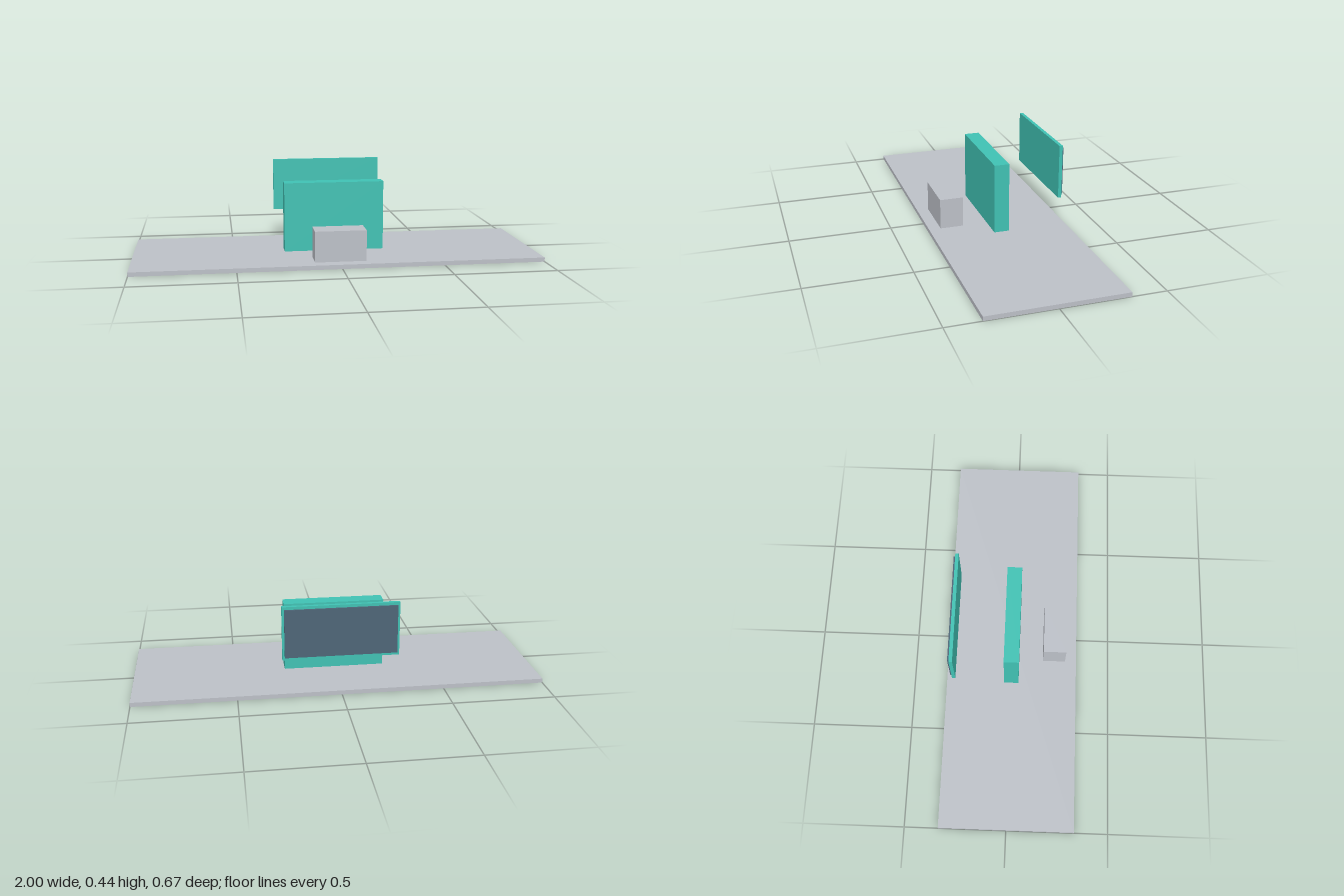
import * as THREE from 'three';

const material = (name, color) => {
  const m = new THREE.MeshStandardMaterial({ color });
  m.name = name;
  return m;
};

export function createModel() {
  const grey = material('light grey', 0xbcc0c7);
  const teal = material('teal', 0x40c1b3);
  const slate = material('dark slate', 0x4d6577);

  const model = new THREE.Group();
  model.name = 'displayStand';

  // Box centred on x, spanning the given y and z ranges
  const addBox = (name, width, [y0, y1], [z0, z1], mat) => {
    const mesh = new THREE.Mesh(new THREE.BoxGeometry(width, y1 - y0, z1 - z0), mat);
    mesh.name = name;
    mesh.position.set(0, (y0 + y1) / 2, (z0 + z1) / 2);
    model.add(mesh);
  };

  // Floor slab
  addBox('basePlate', 2, [0, 0.021], [-0.333, 0.333], grey);
  // Low block in front
  addBox('frontBlock', 0.25, [0.021, 0.172], [0.16, 0.275], grey);
  // Upright panel in the middle
  addBox('centrePanel', 0.5, [0.021, 0.368], [-0.037, 0.037], teal);
  // Floating panel at the back, with a dark screen on its rear face
  addBox('rearPanel', 0.562, [0.177, 0.444], [-0.296, -0.279], teal);
  addBox('rearScreen', 0.54, [0.191, 0.43], [-0.304, -0.296], slate);

  return model;
}
